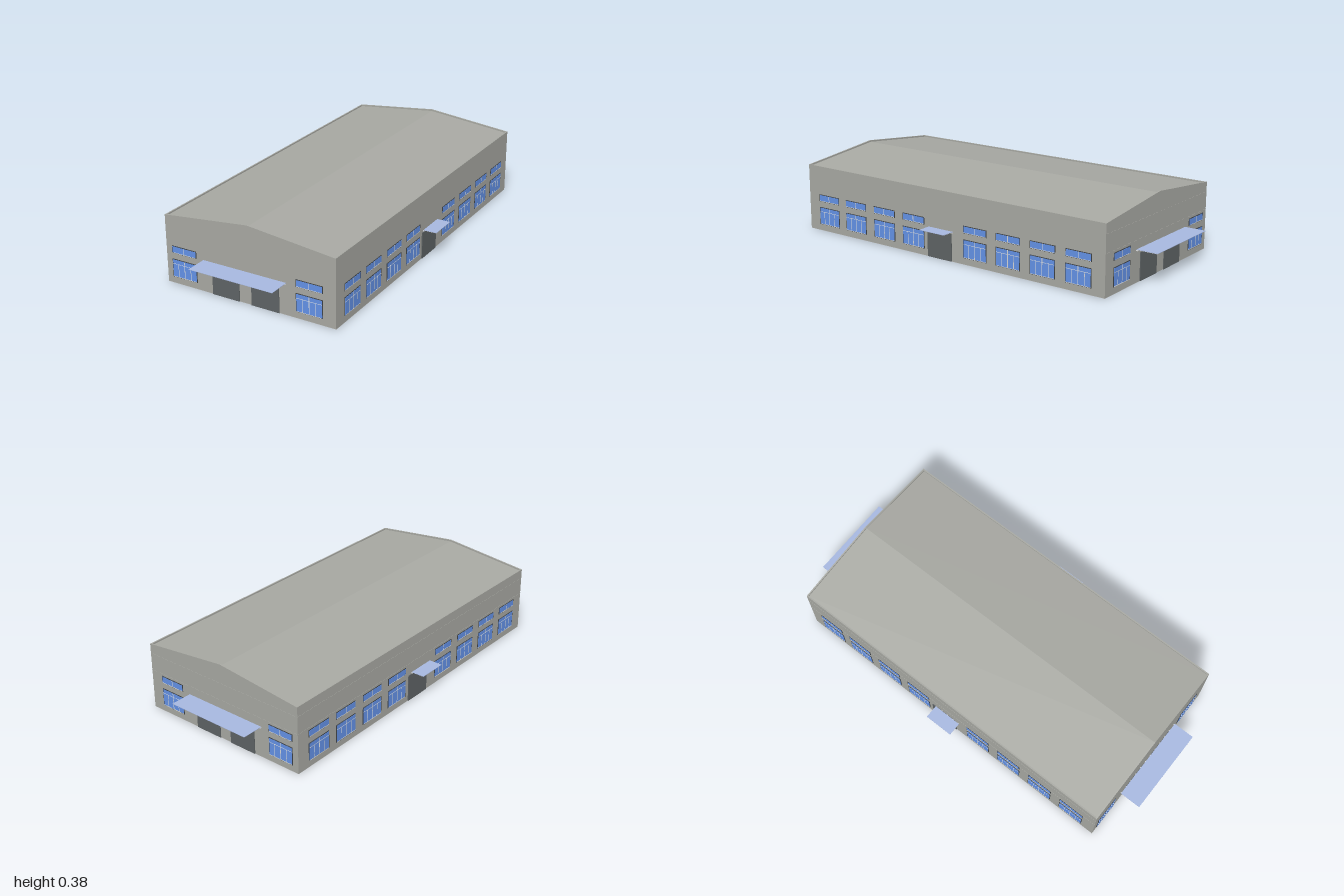
import * as THREE from 'three';

const mat = (name, color) => {
  const m = new THREE.MeshStandardMaterial({ color });
  m.name = name;
  return m;
};

const HALF_W = 0.448, HALF_L = 0.889, EAVE = 0.335, RIDGE = 0.383, WALL = 0.007;

export function createModel() {
  const wallGrey = mat('wallGrey', 0xa8a9a3);
  const floorGrey = mat('floorGrey', 0xcccccc);
  const doorGrey = mat('doorGrey', 0x5e6365);
  const frameDark = mat('frameDark', 0x404448);
  const glassBlue = mat('glassBlue', 0x6594ea);
  const canopyGlass = mat('canopyGlass', 0xa7b8e0);
  const lightMetal = mat('lightMetal', 0xe6e8ea);

  const model = new THREE.Group();
  model.name = 'warehouse';

  const box = (parent, name, material, w, h, d, x, y, z) => {
    const m = new THREE.Mesh(new THREE.BoxGeometry(w, h, d), material);
    m.name = name;
    m.position.set(x, y, z);
    parent.add(m);
  };

  // Pitched prism running along z
  const gablePrism = (name, halfW, eave, ridge, z0, depth) => {
    const s = new THREE.Shape();
    s.moveTo(-halfW, 0.001);
    s.lineTo(halfW, 0.001);
    s.lineTo(halfW, eave);
    s.lineTo(0, ridge);
    s.lineTo(-halfW, eave);
    const g = new THREE.ExtrudeGeometry(s, { depth, bevelEnabled: false });
    g.translate(0, 0, z0);
    const m = new THREE.Mesh(g, wallGrey);
    m.name = name;
    model.add(m);
  };

  // Hall with a roof set slightly below the surrounding walls
  gablePrism('hallAndRoof', HALF_W - WALL, EAVE - 0.007, RIDGE - 0.008, -HALF_L + WALL, 2 * (HALF_L - WALL));
  gablePrism('frontGable', HALF_W, EAVE, RIDGE, HALF_L - WALL, WALL);
  gablePrism('backGable', HALF_W, EAVE, RIDGE, -HALF_L, WALL);
  for (const s of [-1, 1]) {
    box(model, s > 0 ? 'leftWall' : 'rightWall', wallGrey, WALL, EAVE - 0.001, 2 * (HALF_L - WALL),
      s * (HALF_W - WALL / 2), (EAVE + 0.001) / 2, 0);
  }
  box(model, 'floorSlab', floorGrey, 2 * HALF_W, 0.001, 2 * HALF_L, 0, 0.0005, 0);

  // Each facade is built in its own frame: x along the wall, z outwards
  const facade = (name, angle, distance) => {
    const g = new THREE.Group();
    g.name = name;
    g.rotation.y = angle;
    g.position.set(Math.sin(angle) * distance, 0, Math.cos(angle) * distance);
    model.add(g);
    return g;
  };

  // Tall window with a transom light, and a low strip window above it
  const addWindow = (wall, x) => {
    const g = new THREE.Group();
    g.name = 'window';
    g.position.x = x;
    wall.add(g);
    const w = 0.136;
    for (const [y0, y1] of [[0.033, 0.123], [0.153, 0.189]]) {
      const h = y1 - y0, y = (y0 + y1) / 2;
      box(g, 'windowFrame', frameDark, w, h, 0.002, 0, y, 0.001);
      box(g, 'windowGlass', glassBlue, w - 0.006, h - 0.006, 0.003, 0, y, 0.0015);
      box(g, 'mullion', lightMetal, 0.003, h - 0.006, 0.0036, 0, y, 0.0018);
      box(g, 'sill', lightMetal, w - 0.006, 0.002, 0.0036, 0, y0 + 0.003, 0.0018);
    }
    box(g, 'transom', lightMetal, w - 0.006, 0.002, 0.0036, 0, 0.1, 0.0018);
    for (const s of [-1, 1]) {
      box(g, 'casementBar', lightMetal, 0.0025, 0.062, 0.0036, s * 0.034, 0.068, 0.0018);
    }
  };

  const addDoor = (wall, x) => box(wall, 'door', doorGrey, 0.145, 0.136, 0.004, x, 0.069, 0.002);

  // Flat glazed canopy on thin light rafters
  const addCanopy = (wall, x, y, width, reach, rafters) => {
    const g = new THREE.Group();
    g.name = 'canopy';
    g.position.set(x, y, 0);
    wall.add(g);
    box(g, 'canopyPane', canopyGlass, width, 0.002, reach, 0, 0, reach / 2 + 0.004);
    for (let i = 0; i < rafters; i++) {
      const rx = (i / (rafters - 1) - 0.5) * (width - 0.008);
      box(g, 'rafter', lightMetal, 0.003, 0.002, reach - 0.006, rx, -0.002, reach / 2 + 0.002);
      box(g, 'bracket', lightMetal, 0.004, 0.006, 0.006, rx, -0.005, 0.004);
    }
    for (let i = 0; i < 4; i++) {
      box(g, 'purlin', lightMetal, width - 0.006, 0.0015, 0.003, 0, -0.0017, 0.01 + (i / 3) * (reach - 0.012));
    }
  };

  // Gable facades
  const front = facade('frontFacade', 0, HALF_L);
  const back = facade('backFacade', Math.PI, HALF_L);
  for (const [wall, s] of [[front, 1], [back, -1]]) {
    addWindow(wall, s * -0.349);
    addWindow(wall, s * 0.315);
    addDoor(wall, s * -0.122);
    addDoor(wall, s * 0.088);
    addCanopy(wall, s * -0.02, 0.159, 0.44, 0.107, 12);
  }

  // Long facades
  const left = facade('leftFacade', Math.PI / 2, HALF_W);
  const right = facade('rightFacade', -Math.PI / 2, HALF_W);
  for (const [wall, canopyX] of [[left, -0.0175], [right, -0.005]]) {
    for (const x of [-0.7525, -0.5675, -0.3775, -0.19, 0.1825, 0.3725, 0.5625, 0.7525]) addWindow(wall, x);
    addDoor(wall, -0.0275);
    addCanopy(wall, canopyX, 0.148, 0.146, 0.068, 5);
  }

  // Fine panel ledges on the back and right walls
  for (const y of [0.2, 0.287]) {
    box(back, 'panelLedge', wallGrey, 2 * HALF_W, 0.0015, 0.002, 0, y, 0);
    box(right, 'panelLedge', wallGrey, 2 * HALF_L, 0.0015, 0.002, 0, y, 0);
  }

  return model;
}
